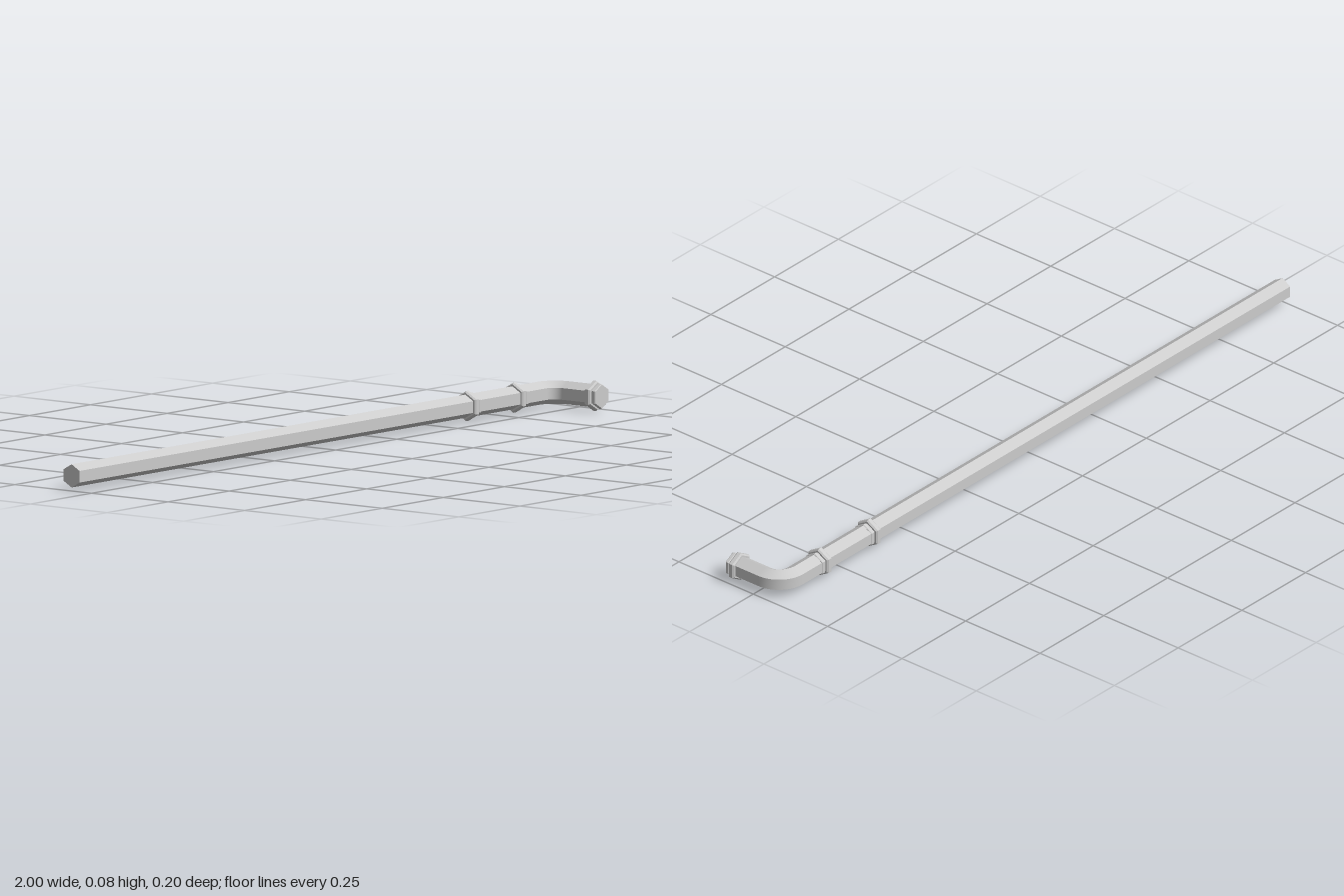
import * as THREE from 'three';

const Y = 0.039, PIPE_Z = -0.065, ARM_X = 0.966, R = 0.03;
const BEND = 0.055, END_Z = 0.098;

// Hexagonal tube through stations {x, z, a}; a is the heading, 0 = +x, PI/2 = +z.
// Each side has its own vertices, so the bend is smooth and the six edges stay sharp.
function hexTube(stations, r) {
  const pos = [], idx = [];
  const corner = (s, k) => {
    const t = (k * Math.PI) / 3;
    const side = Math.sin(t) * r;
    return [s.x - Math.sin(s.a) * side, Y + Math.cos(t) * r, s.z + Math.cos(s.a) * side];
  };
  for (let k = 0; k < 6; k++) {
    const base = pos.length / 3;
    stations.forEach((s, i) => {
      pos.push(...corner(s, k), ...corner(s, k + 1));
      if (i === 0) return;
      const a = base + (i - 1) * 2;
      idx.push(a, a + 1, a + 2, a + 1, a + 3, a + 2);
    });
  }
  // flat end caps
  [stations[0], stations[stations.length - 1]].forEach((s, end) => {
    const base = pos.length / 3;
    for (let k = 0; k < 6; k++) pos.push(...corner(s, k));
    for (let k = 1; k < 5; k++) {
      if (end) idx.push(base, base + k, base + k + 1);
      else idx.push(base, base + k + 1, base + k);
    }
  });
  const g = new THREE.BufferGeometry();
  g.setAttribute('position', new THREE.Float32BufferAttribute(pos, 3));
  g.setIndex(idx);
  g.computeVertexNormals();
  return g;
}

// Bevelled hexagonal ring around the z axis
function hexRing(r, width, bevel) {
  const h = width / 2;
  const profile = [
    [0.026, -h], [r - bevel, -h], [r, -h + bevel],
    [r, h - bevel], [r - bevel, h], [0.026, h],
  ].map(([x, y]) => new THREE.Vector2(x, y));
  return new THREE.LatheGeometry(profile, 6).rotateX(Math.PI / 2);
}

export function createModel() {
  const group = new THREE.Group();
  const smooth = new THREE.MeshStandardMaterial({ color: 0xcccccc });
  const flat = new THREE.MeshStandardMaterial({ color: 0xcccccc, flatShading: true });

  // Long straight run, rounded elbow and short arm
  const stations = [{ x: -1, z: PIPE_Z, a: 0 }];
  for (let i = 0; i <= 10; i++) {
    const a = (i / 10) * Math.PI / 2;
    stations.push({
      x: ARM_X - BEND + Math.sin(a) * BEND,
      z: PIPE_Z + BEND - Math.cos(a) * BEND,
      a,
    });
  }
  stations.push({ x: ARM_X, z: END_Z, a: Math.PI / 2 });
  const pipe = new THREE.Mesh(hexTube(stations, R), smooth);
  pipe.name = 'pipe';
  group.add(pipe);

  // Collars: a wide ring followed by a thinner, lower one
  function addCollar(name, x, z, turn) {
    const collar = new THREE.Group();
    collar.name = name;
    const wide = new THREE.Mesh(hexRing(0.039, 0.018, 0.004), flat);
    wide.name = 'wideRing';
    const thin = new THREE.Mesh(hexRing(0.0325, 0.011, 0.002), flat);
    thin.name = 'thinRing';
    thin.position.z = 0.0175;
    collar.add(wide, thin);
    collar.position.set(x, Y, z);
    collar.rotation.y = turn;
    group.add(collar);
  }
  addCollar('innerCollar', 0.621, PIPE_Z, Math.PI / 2);
  addCollar('outerCollar', 0.814, PIPE_Z, Math.PI / 2);
  addCollar('endCollar', ARM_X, 0.076, 0);

  return group;
}
